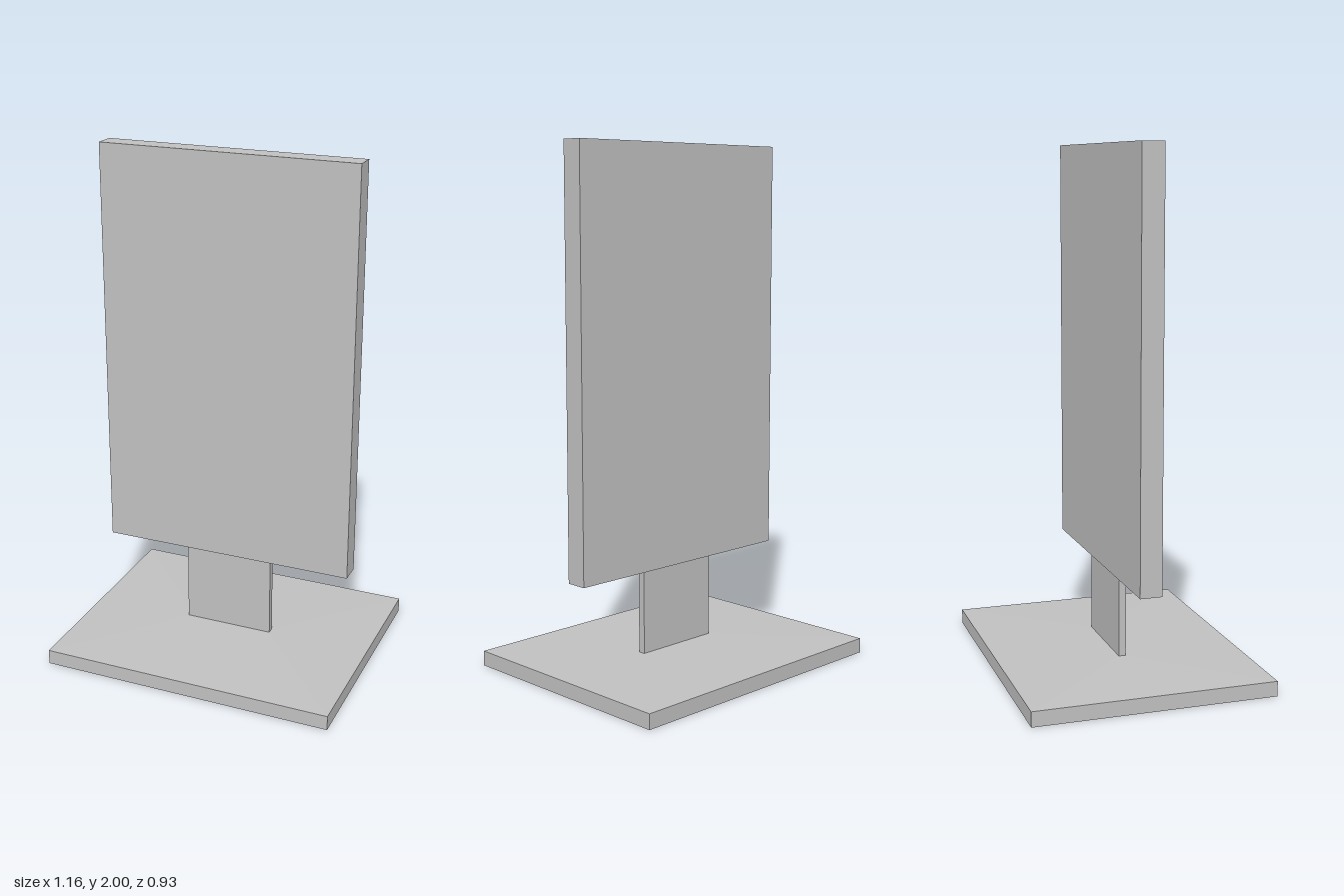
import * as THREE from 'three';

const grey = new THREE.MeshStandardMaterial({ color: 0xc0c0c0 });
grey.name = 'grey';

const neckW = 0.356, neckD = 0.028;
const baseW = 1.164, baseD = 0.932, rimY = 0.058, crownY = 0.067;

function part(name, geometry, y) {
  const mesh = new THREE.Mesh(geometry, grey);
  mesh.name = name;
  mesh.position.y = y;
  return mesh;
}

// Slab whose top slopes gently up from the rim to the foot of the neck
function baseGeometry() {
  const box = new THREE.BoxGeometry(baseW, 2, baseD, 1, 2, 1);
  const p = box.attributes.position;
  for (let i = 0; i < p.count; i++) {
    const x = Math.sign(p.getX(i)), y = p.getY(i), z = Math.sign(p.getZ(i));
    if (y > 0.5) p.setXYZ(i, x * neckW / 2, crownY, z * neckD / 2);
    else p.setY(i, y < -0.5 ? 0 : rimY);
  }
  const flat = box.toNonIndexed();
  flat.computeVertexNormals();
  return flat;
}

export function createModel() {
  const model = new THREE.Group();
  model.name = 'displayStand';

  const panelBottom = 0.397, panelH = 2 - panelBottom;
  const neckH = panelBottom - crownY;

  model.add(
    part('base', baseGeometry(), 0),
    part('neck', new THREE.BoxGeometry(neckW, neckH, neckD), crownY + neckH / 2),
    part('panel', new THREE.BoxGeometry(1.01, panelH, 0.084), panelBottom + panelH / 2),
  );
  return model;
}
